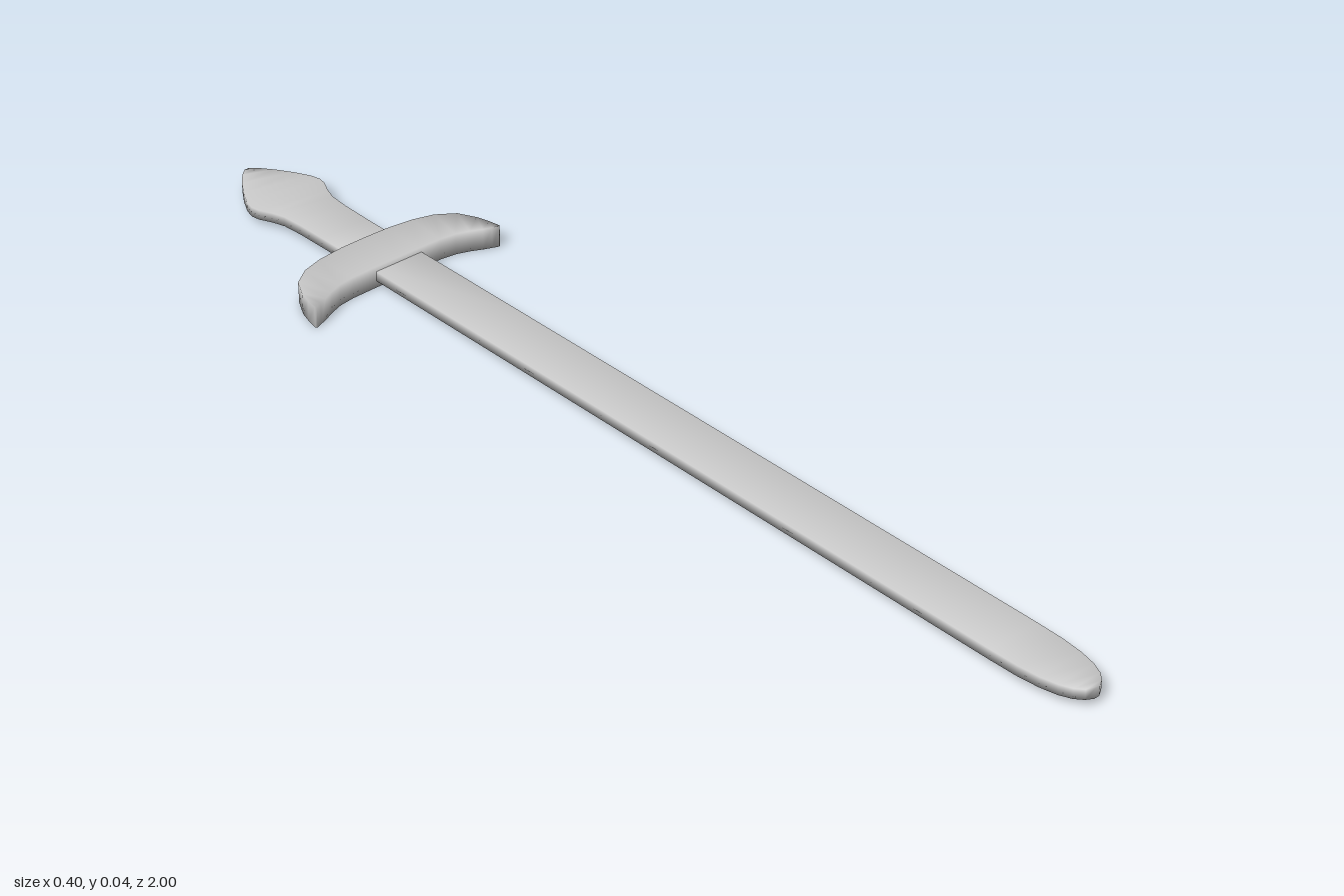
import * as THREE from 'three';

const material = new THREE.MeshStandardMaterial({ color: 0xcccccc });

// Smooth-shaded slab: each station is a pair of edge points [ax, az, bx, bz];
// range(z) returns the bottom and top height there.
function slab(name, stations, range) {
  const pos = [], index = [];
  stations.forEach(([ax, az, bx, bz]) => {
    const [aLow, aHigh] = range(az), [bLow, bHigh] = range(bz);
    pos.push(ax, aHigh, az, bx, bHigh, bz, bx, bLow, bz, ax, aLow, az);
  });
  const last = stations.length - 1;
  for (let i = 0; i < last; i++) {
    for (let k = 0; k < 4; k++) {
      const p = i * 4 + k, q = i * 4 + (k + 1) % 4;
      index.push(p, p + 4, q + 4, p, q + 4, q);
    }
  }
  const e = last * 4;
  index.push(0, 1, 2, 0, 2, 3, e, e + 2, e + 1, e, e + 3, e + 2);
  const geo = new THREE.BufferGeometry();
  geo.setAttribute('position', new THREE.Float32BufferAttribute(pos, 3));
  geo.setIndex(index);
  geo.computeVertexNormals();
  const mesh = new THREE.Mesh(geo, material);
  mesh.name = name;
  return mesh;
}

export function createModel() {
  const group = new THREE.Group();
  group.name = 'sword';
  const axis = 0.005;
  // the blade and grip rise very slightly toward the tip
  const bladeRange = z => [0.013 + 0.0015 * z, 0.0315 + 0.0015 * z];
  const across = ([z, w]) => [axis - w, z, axis + w, z];

  // Blade with a rounded tip
  const blade = [[-0.62, 0.049], [-0.3, 0.049], [0, 0.049], [0.3, 0.049], [0.6, 0.049],
    [0.84, 0.049], [0.89, 0.048], [0.93, 0.044], [0.96, 0.037], [0.98, 0.028],
    [0.993, 0.017], [1, 0.005]];
  group.add(slab('blade', blade.map(across), bladeRange));

  // Grip flaring into a pointed pommel
  const grip = [[-1, 0.004], [-0.988, 0.018], [-0.965, 0.036], [-0.935, 0.055], [-0.905, 0.07],
    [-0.885, 0.075], [-0.868, 0.072], [-0.845, 0.061], [-0.82, 0.053], [-0.78, 0.05],
    [-0.72, 0.049], [-0.62, 0.049]];
  group.add(slab('gripAndPommel', grip.map(across), bladeRange));

  // Crossguard, ends swept toward the blade: [inner x, inner z, outer x, outer z]
  const half = [[0, -0.57, 0, -0.66], [0.05, -0.57, 0.05, -0.659], [0.095, -0.569, 0.1, -0.653],
    [0.125, -0.565, 0.14, -0.641], [0.15, -0.556, 0.172, -0.618], [0.17, -0.546, 0.189, -0.585],
    [0.185, -0.54, 0.196, -0.56], [0.197, -0.535, 0.2, -0.537]];
  const mirrored = half.slice(1).reverse().map(([a, b, c, d]) => [-a, b, -c, d]);
  group.add(slab('crossguard', [...mirrored, ...half], () => [0, 0.04]));

  return group;
}
